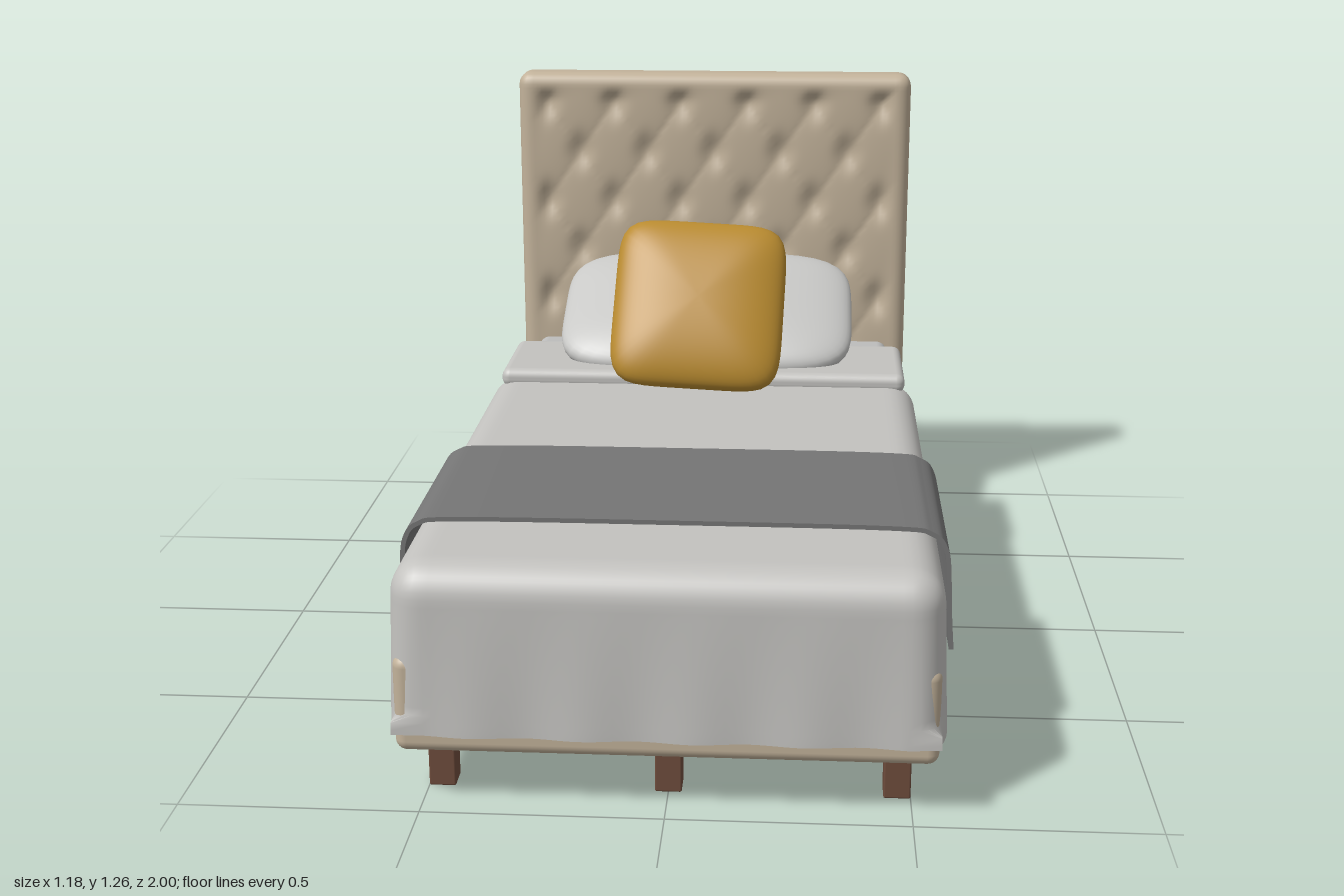
import * as THREE from 'three';
import { mergeVertices, toCreasedNormals } from 'three/addons/utils/BufferGeometryUtils.js';
import { RoundedBoxGeometry } from 'three/addons/geometries/RoundedBoxGeometry.js';

const material = (name, color, side = THREE.FrontSide) => {
  const m = new THREE.MeshStandardMaterial({ color, side });
  m.name = name;
  return m;
};

// Weld a geometry and move every vertex by a rule
function reshape(geometry, rule) {
  geometry.deleteAttribute('uv');
  geometry.deleteAttribute('normal');
  const g = mergeVertices(geometry, 1e-5);
  const pos = g.attributes.position;
  const v = new THREE.Vector3();
  for (let i = 0; i < pos.count; i++) {
    rule(v.fromBufferAttribute(pos, i));
    pos.setXYZ(i, v.x, v.y, v.z);
  }
  g.computeVertexNormals();
  return g;
}

// Finely divided box with rounded edges, followed by an extra rule
function softBox(w, h, d, r, segs, rule) {
  const half = new THREE.Vector3(w / 2 - r, h / 2 - r, d / 2 - r);
  const low = half.clone().negate();
  const inner = new THREE.Vector3();
  return reshape(new THREE.BoxGeometry(w, h, d, ...segs), (v) => {
    inner.copy(v).clamp(low, half);
    v.sub(inner).normalize().multiplyScalar(r).add(inner);
    rule(v);
  });
}

// Cushion with a rounded-square outline and a lens-shaped section
function cushion(halfW, halfL, halfT, n) {
  return reshape(new THREE.SphereGeometry(1, 72, 36).rotateX(Math.PI / 2), (v) => {
    const rho = Math.hypot(v.x, v.y);
    if (rho > 1e-6) {
      const c = Math.abs(v.x / rho), s = Math.abs(v.y / rho);
      const k = Math.pow(c ** n + s ** n, -1 / n);
      v.x *= k;
      v.y *= k;
    }
    v.set(v.x * halfW, v.y * halfL, Math.sign(v.z) * Math.abs(v.z) ** 0.9 * halfT);
  });
}

export function createModel() {
  const root = new THREE.Group();
  root.name = 'bed';

  const upholstery = material('beige upholstery', 0xc2b29a);
  const linen = material('light grey linen', 0xc3c2bf, THREE.DoubleSide);
  const sheet = material('sheet grey', 0xbdbdbc);
  const pillowCloth = material('pale pillow cloth', 0xc8c8c6);
  const mustard = material('mustard cloth', 0xb98b30);
  const charcoal = material('charcoal throw', 0x757575, THREE.DoubleSide);
  const wood = material('brown wood', 0x6e4c3c);

  const add = (name, geometry, mat, x = 0, y = 0, z = 0) => {
    const mesh = new THREE.Mesh(geometry, mat);
    mesh.name = name;
    mesh.position.set(x, y, z);
    root.add(mesh);
    return mesh;
  };
  const block = (name, w, r, mat, y0, y1, z0, z1) => add(name,
    new RoundedBoxGeometry(w, y1 - y0, z1 - z0, 5, r), mat, 0, (y0 + y1) / 2, (z0 + z1) / 2);

  // Legs in two rows of three
  for (const x of [-0.472, 0, 0.472])
    for (const z of [-0.86, 0.86])
      add('leg', new RoundedBoxGeometry(0.056, 0.125, 0.056, 2, 0.004), wood, x, 0.0625, z);

  // Base, mattress and folded-back sheet
  block('base', 1.1, 0.025, upholstery, 0.12, 0.33, -0.895, 0.98);
  block('mattress', 1.0, 0.03, sheet, 0.3, 0.505, -0.885, 0.9);
  block('sheetFold', 1.055, 0.022, linen, 0.505, 0.555, -0.64, -0.33);

  // Headboard with staggered button tufts on its front
  const headY = 0.735;
  add('headboard', softBox(1.1, 1.05, 0.11, 0.035, [100, 96, 10], (v) => {
    if (v.z < 0.05) return;
    const i = v.x / 0.094, j = (v.y + headY - 1.18) / 0.14;
    const p = Math.PI * (i + j - 1) / 2, q = Math.PI * (i - j - 1) / 2;
    const button = (Math.cos(p) * Math.cos(q)) ** 4;
    const fold = 1 - Math.sqrt(Math.abs(Math.sin(p) * Math.sin(q)));
    const edge = Math.min(0.55 - Math.abs(v.x), 0.525 - Math.abs(v.y));
    const fade = THREE.MathUtils.smoothstep(edge, 0.03, 0.08);
    v.z -= fade * (0.016 * button + 0.006 * fold);
  }), upholstery, 0, headY, -0.945);

  // Duvet draped over the foot end, open edge towards the head
  const duvetY = 0.307, duvetZ = 0.2725;
  const duvet = softBox(1.11, 0.43, 1.425, 0.07, [64, 26, 72], (v) => {
    const drop = THREE.MathUtils.clamp((0.14 - v.y) / 0.28, 0, 1);
    v.y = Math.max(v.y, 0.165 - duvetY);
    // Round only the upper edges: refill the hem where the box curves under
    if (v.y < -0.1) {
      v.x = Math.abs(v.x) > 0.5 ? Math.sign(v.x) * Math.max(Math.abs(v.x), 0.545) : v.x;
    }
    if (Math.abs(v.x) > 0.49) v.x += Math.sign(v.x) * drop * (0.011 + 0.003 * Math.sin(v.z * 24));
    if (v.z > 0.66) v.z += drop * (0.008 + 0.005 * Math.sin(v.x * 28));
    v.z = Math.max(v.z, -0.365 - duvetZ);
  });
  add('duvet', toCreasedNormals(duvet, 0.8), linen, 0, duvetY, duvetZ);

  // Throw: thin draped strip swept along z
  const half = [[0, 0.537], [0.45, 0.535], [0.54, 0.523], [0.572, 0.485],
    [0.58, 0.42], [0.584, 0.34], [0.59, 0.262]].map(([x, y]) => new THREE.Vector2(x, y));
  const mirrored = half.slice(1).reverse().map((p) => new THREE.Vector2(-p.x, p.y));
  const outer = new THREE.SplineCurve([...mirrored, ...half]).getPoints(72);
  const inner = outer.map((p, i) => {
    const a = outer[Math.max(i - 1, 0)], b = outer[Math.min(i + 1, outer.length - 1)];
    const t = b.clone().sub(a).normalize();
    return new THREE.Vector2(p.x + t.y * 0.01, p.y - t.x * 0.01);
  });
  const strip = new THREE.ExtrudeGeometry(new THREE.Shape([...outer, ...inner.reverse()]),
    { depth: 0.48, bevelEnabled: false });
  add('throwBlanket', toCreasedNormals(strip, 0.6), charcoal, 0, 0, 0.24);

  // Sleeping pillow leaning back, square accent cushion in front of it
  const pillow = add('pillow', cushion(0.392, 0.25, 0.078, 4.5), pillowCloth, 0, 0.645, -0.615);
  pillow.rotation.x = -1.15;
  const accent = add('accentCushion', cushion(0.219, 0.225, 0.074, 6), mustard, -0.008, 0.738, -0.328);
  accent.rotation.set(-0.58, 0.03, -0.04);

  return root;
}
